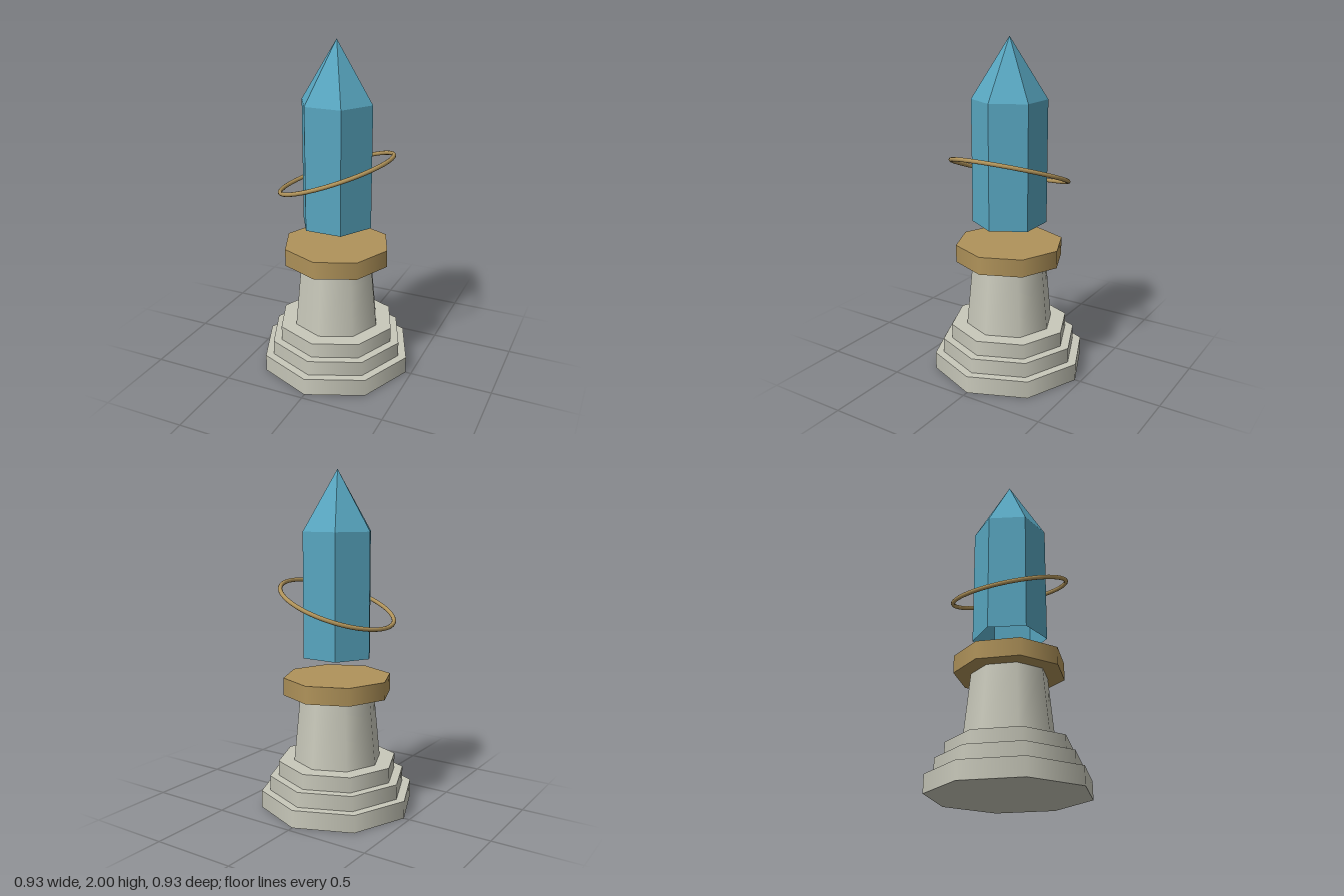
import * as THREE from 'three';

const stone = new THREE.MeshStandardMaterial({ color: 0xc8c8ba });
const gold = new THREE.MeshStandardMaterial({ color: 0xb0935a });
const crystalBlue = new THREE.MeshStandardMaterial({
  color: 0x58a6c0, flatShading: true, side: THREE.DoubleSide,
});

export function createModel() {
  const model = new THREE.Group();
  model.name = 'crystalPedestal';

  const add = (name, geometry, material) => {
    const mesh = new THREE.Mesh(geometry, material);
    mesh.name = name;
    model.add(mesh);
    return mesh;
  };

  // Smooth-shaded octagonal drum between two heights
  const drum = (name, rTop, rBottom, y0, y1, material) => {
    add(name, new THREE.CylinderGeometry(rTop, rBottom, y1 - y0, 8), material)
      .position.y = (y0 + y1) / 2;
  };

  // Stepped base
  drum('baseStepLower', 0.465, 0.465, 0, 0.105, stone);
  drum('baseStepMiddle', 0.413, 0.413, 0.105, 0.195, stone);
  drum('baseStepUpper', 0.36, 0.36, 0.195, 0.285, stone);

  // Tapered column and gold collar
  drum('column', 0.225, 0.265, 0.285, 0.69, stone);
  drum('collar', 0.325, 0.325, 0.69, 0.795, gold);

  // Floating six-sided crystal, open underneath
  const profile = [[0.22, 0.92], [0.22, 1.65], [0, 2]].map(([r, y]) => new THREE.Vector2(r, y));
  add('crystal', new THREE.LatheGeometry(profile, 6, Math.PI / 6), crystalBlue);

  // Tilted ring around the crystal, higher on the +x side
  const ringGeometry = new THREE.TorusGeometry(0.348, 0.0125, 10, 64);
  ringGeometry.rotateX(Math.PI / 2);
  const ring = add('ring', ringGeometry, gold);
  ring.position.y = 1.23;
  ring.rotation.z = 0.35;

  return model;
}
